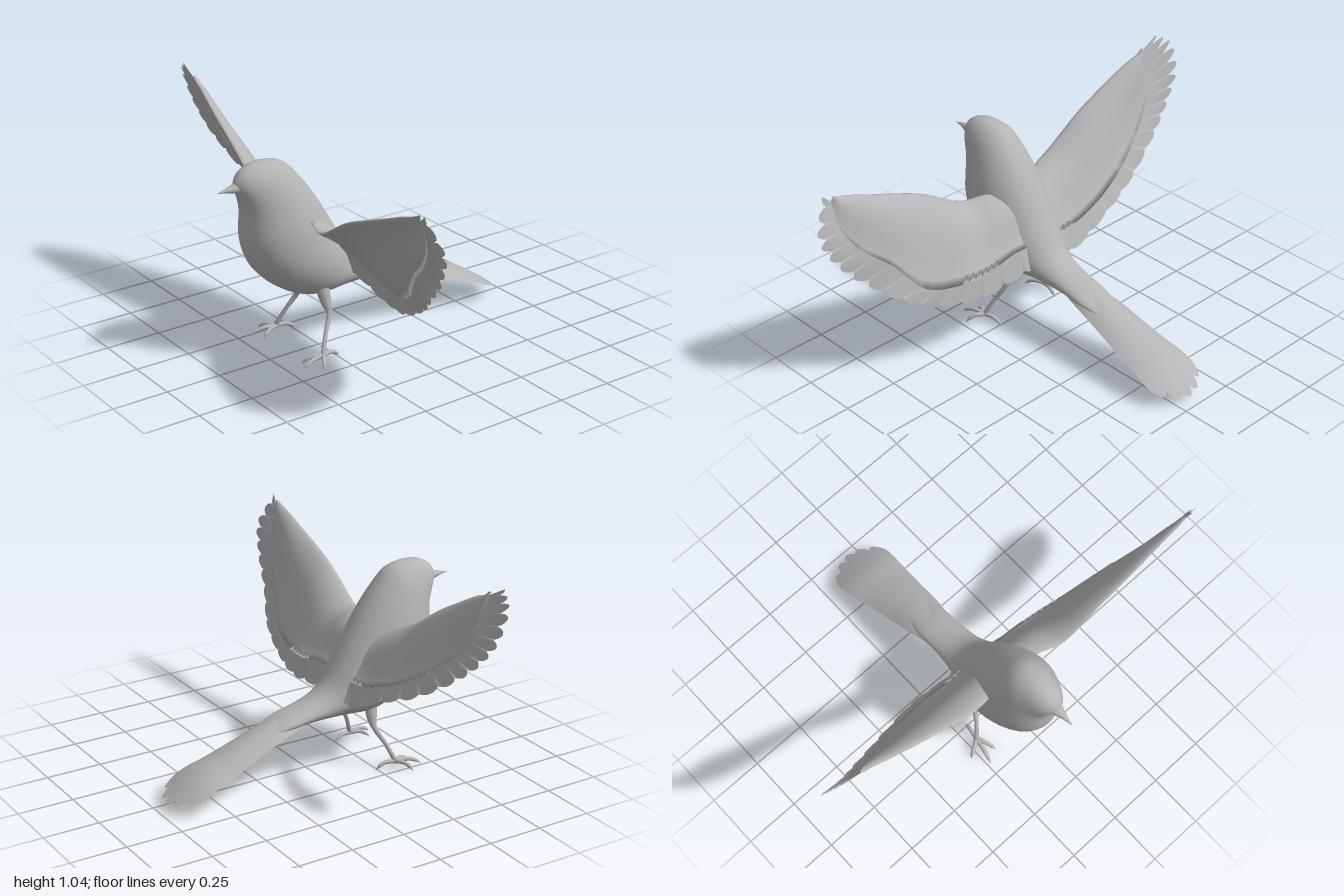
import * as THREE from 'three';
import { mergeVertices } from 'three/addons/utils/BufferGeometryUtils.js';

const plumage = new THREE.MeshStandardMaterial({ color: 0xb4b4b4, side: THREE.DoubleSide });
plumage.name = 'plumage grey';

const CX = -0.042; // the body sits slightly off the middle of the wingspan
const V = (x, y, z) => new THREE.Vector3(x, y, z);
const spline = (pts) => new THREE.CatmullRomCurve3(pts.map((p) => V(...p)));

// Smooth surface from a rule fn(u, v) -> Vector3, u and v in 0..1
function surface(name, nu, nv, fn) {
  const pos = [], idx = [];
  for (let i = 0; i <= nu; i++)
    for (let j = 0; j <= nv; j++) pos.push(...fn(i / nu, j / nv).toArray());
  for (let i = 0; i < nu; i++)
    for (let j = 0; j < nv; j++) {
      const a = i * (nv + 1) + j, b = a + nv + 1;
      idx.push(a, b, a + 1, b, b + 1, a + 1);
    }
  let g = new THREE.BufferGeometry();
  g.setAttribute('position', new THREE.Float32BufferAttribute(pos, 3));
  g.setIndex(idx);
  g = mergeVertices(g, 1e-5);
  g.computeVertexNormals();
  const m = new THREE.Mesh(g, plumage);
  m.name = name;
  return m;
}

// Elliptical loft; each row is [half width, front y, front z, back y, back z]
function loft(name, rows, nu, nv) {
  const front = spline(rows.map((r) => [r[0], r[1], r[2]]));
  const back = spline(rows.map((r) => [0, r[3], r[4]]));
  return surface(name, nu, nv, (u, v) => {
    const f = front.getPoint(u), b = back.getPoint(u), a = v * Math.PI * 2;
    const k = (1 - Math.cos(a)) / 2;
    return V(CX + Math.max(f.x, 0) * Math.sin(a), f.y + (b.y - f.y) * k, f.z + (b.z - f.z) * k);
  });
}

// Tapered limb along a path, radii interpolated between the points
function limb(name, pts, radii) {
  const c = spline(pts), n = radii.length - 1;
  return surface(name, 16, 10, (u, v) => {
    const i = Math.min(Math.floor(u * n), n - 1);
    const r = THREE.MathUtils.lerp(radii[i], radii[i + 1], u * n - i);
    const t = c.getTangent(u);
    const side = V(1, 0, 0).addScaledVector(t, -t.x).normalize();
    const up = t.clone().cross(side);
    const a = v * Math.PI * 2;
    return c.getPoint(u).addScaledVector(side, r * Math.cos(a)).addScaledVector(up, r * Math.sin(a));
  });
}

// Wing rows from root to tip: leading edge, end of the coverts, feather tips
function wing(name, rows, sign) {
  const [lead, mid, tip] = [0, 1, 2].map((k) => spline(rows.map((r) => r[k])));
  const g = new THREE.Group();
  g.name = name;
  const dorsal = V(-0.2 * sign, 0.5, -0.8).normalize();
  // cambered, thick-fronted panel
  g.add(surface(name + 'Panel', 40, 32, (u, v) => {
    const c = Math.pow(Math.abs(1 - 2 * v), 1.5);
    const size = 1 - 0.75 * u * u;
    const camber = 0.2 * c * (1 - c) * (1 - c) * size;
    const thick = (0.045 * Math.sqrt(c) * Math.pow(1 - c, 1.6) + 0.002 * (1 - c)) * size;
    return lead.getPoint(u).lerp(mid.getPoint(u), c)
      .addScaledVector(dorsal, camber + (v < 0.5 ? thick : -thick));
  }));
  // thin scalloped flight feathers, broad near the body and fingered at the tip
  const n = 15.5;
  g.add(surface(name + 'Feathers', 210, 6, (u, v) => {
    const phase = n * Math.pow(u, 1.2);
    const lobe = Math.pow(Math.abs(Math.sin(Math.PI * phase)), 0.7);
    const depth = 0.16 + 0.36 * u * u * u;
    const reach = 1 - depth * (1 - lobe);
    const lap = ((phase % 1) - 0.5) * 0.006 * v;
    return mid.getPoint(u).lerp(tip.getPoint(u), v * reach).addScaledVector(dorsal, lap);
  }));
  return g;
}

function leg(name, side) {
  const g = new THREE.Group();
  g.name = name;
  const at = (x, y, z) => [-0.03 + side * x, y, z];
  g.add(limb('shank', [at(0.08, 0.3, 0.265), at(0.1, 0.235, 0.258), at(0.122, 0.19, 0.258),
    at(0.15, 0.12, 0.295), at(0.18, 0.04, 0.33)], [0.03, 0.024, 0.012, 0.009, 0.011]));
  const toes = [[0.255, 0.375], [0.205, 0.45], [0.145, 0.415], [0.165, 0.24]];
  toes.forEach(([x, z]) => {
    const mx = (x + 0.18) / 2, mz = (z + 0.33) / 2;
    g.add(limb('toe', [at(0.18, 0.035, 0.33), at(mx, 0.036, mz),
      at(x * 0.8 + 0.036, 0.024, z * 0.8 + 0.066), at(x, 0.006, z)], [0.011, 0.009, 0.008, 0.001]));
  });
  return g;
}

export function createModel() {
  const bird = new THREE.Group();
  bird.name = 'bird';

  // head, breast, back and rump
  bird.add(loft('body', [
    [0, 0.795, 0.632, 0.795, 0.632],
    [0.028, 0.762, 0.615, 0.828, 0.62],
    [0.05, 0.738, 0.603, 0.86, 0.594],
    [0.072, 0.71, 0.595, 0.885, 0.54],
    [0.09, 0.68, 0.59, 0.888, 0.47],
    [0.11, 0.64, 0.588, 0.867, 0.395],
    [0.132, 0.585, 0.59, 0.79, 0.32],
    [0.15, 0.53, 0.587, 0.695, 0.25],
    [0.16, 0.43, 0.55, 0.58, 0.18],
    [0.157, 0.325, 0.45, 0.475, 0.12],
    [0.13, 0.252, 0.31, 0.4, 0.07],
    [0.097, 0.25, 0.13, 0.36, 0.02],
    [0.083, 0.25, -0.03, 0.33, -0.05],
    [0.08, 0.24, -0.15, 0.3, -0.15],
    [0.06, 0.24, -0.24, 0.262, -0.24],
  ], 70, 36));

  bird.add(loft('beak', [
    [0.034, 0.768, 0.6, 0.825, 0.6],
    [0.022, 0.777, 0.635, 0.811, 0.635],
    [0.01, 0.785, 0.67, 0.802, 0.67],
    [0, 0.79, 0.71, 0.79, 0.71],
  ], 12, 16));

  // arched tail with a five-lobed end
  const spine = spline([[0.075, 0.312, -0.08], [0.097, 0.284, -0.2], [0.112, 0.228, -0.35],
    [0.126, 0.182, -0.46], [0.138, 0.138, -0.57], [0.145, 0.038, -0.72]]);
  bird.add(surface('tail', 30, 60, (t, w) => {
    const u = 2 * w - 1;
    const lobe = Math.pow(Math.abs(Math.sin(2.5 * Math.PI * (u + 1))), 0.7);
    const v = t * (1 - 0.12 * u * u - 0.04 * (1 - lobe));
    const s = spine.getPoint(v);
    return V(CX - 0.017 * v + s.x * u, s.y - 0.05 * (1 - 0.5 * v * v) * u * u, s.z);
  }));

  bird.add(wing('rightWing', [
    [[-0.05, 0.6, 0.32], [-0.05, 0.44, 0.14], [-0.05, 0.33, 0.1]],
    [[-0.19, 0.65, 0.365], [-0.19, 0.43, 0.14], [-0.19, 0.335, 0.1]],
    [[-0.3, 0.7, 0.375], [-0.38, 0.49, 0.145], [-0.39, 0.425, 0.11]],
    [[-0.46, 0.81, 0.37], [-0.55, 0.575, 0.175], [-0.6, 0.515, 0.15]],
    [[-0.6, 0.89, 0.36], [-0.68, 0.67, 0.215], [-0.79, 0.64, 0.2]],
    [[-0.69, 0.94, 0.35], [-0.76, 0.75, 0.245], [-0.91, 0.75, 0.235]],
    [[-0.76, 0.975, 0.34], [-0.81, 0.84, 0.275], [-0.99, 0.87, 0.26]],
    [[-0.8, 0.99, 0.335], [-0.82, 0.91, 0.3], [-0.99, 1.0, 0.3]],
    [[-0.83, 1.01, 0.335], [-0.83, 1.0, 0.33], [-0.92, 1.05, 0.33]],
  ], -1));
  bird.add(wing('leftWing', [
    [[-0.03, 0.6, 0.31], [-0.03, 0.42, 0.145], [-0.03, 0.33, 0.11]],
    [[0.11, 0.63, 0.355], [0.13, 0.43, 0.15], [0.13, 0.32, 0.12]],
    [[0.22, 0.63, 0.39], [0.28, 0.395, 0.155], [0.33, 0.295, 0.14]],
    [[0.41, 0.74, 0.4], [0.44, 0.39, 0.18], [0.52, 0.32, 0.18]],
    [[0.55, 0.8, 0.405], [0.58, 0.43, 0.21], [0.69, 0.41, 0.22]],
    [[0.68, 0.85, 0.405], [0.7, 0.57, 0.27], [0.83, 0.525, 0.29]],
    [[0.78, 0.89, 0.405], [0.82, 0.68, 0.32], [0.945, 0.655, 0.33]],
    [[0.84, 0.91, 0.405], [0.885, 0.79, 0.36], [1.0, 0.79, 0.36]],
    [[0.88, 0.925, 0.405], [0.895, 0.91, 0.4], [0.93, 0.94, 0.41]],
  ], 1));

  bird.add(leg('leftLeg', 1), leg('rightLeg', -1));
  return bird;
}
